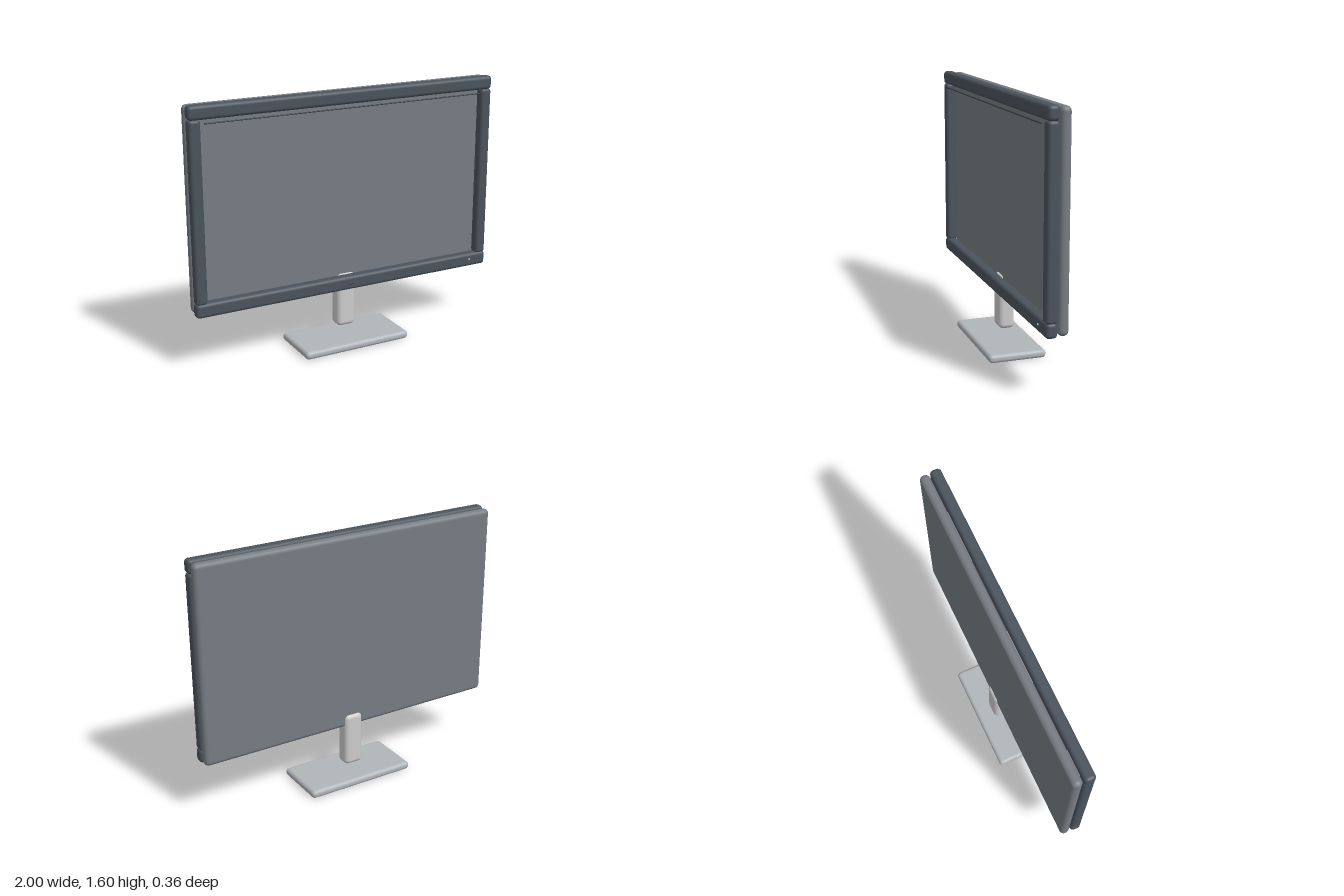
import * as THREE from 'three';
import { RoundedBoxGeometry } from 'three/addons/geometries/RoundedBoxGeometry.js';

const material = (color) => new THREE.MeshStandardMaterial({ color });

// Rounded box given by its extents on each axis
function roundedPart(name, [x0, x1], [y0, y1], [z0, z1], radius, mat) {
  const geometry = new RoundedBoxGeometry(x1 - x0, y1 - y0, z1 - z0, 5, radius);
  const mesh = new THREE.Mesh(geometry, mat);
  mesh.position.set((x0 + x1) / 2, (y0 + y1) / 2, (z0 + z1) / 2);
  mesh.name = name;
  return mesh;
}

// Flattened sphere for the small details on the frame
function button(name, x, y, z, rx, ry, rz, mat) {
  const mesh = new THREE.Mesh(new THREE.SphereGeometry(1, 20, 12), mat);
  mesh.scale.set(rx, ry, rz);
  mesh.position.set(x, y, z);
  mesh.name = name;
  return mesh;
}

export function createModel() {
  const model = new THREE.Group();
  model.name = 'monitor';

  const frameMat = material(0x4a535c);
  const panelMat = material(0x757c82);
  const neckMat = material(0xcccccc);
  const baseMat = material(0xb0b5b9);
  const detailMat = material(0x3a4046);
  const lightMat = material(0xdde4ea);

  // Foot and neck
  model.add(roundedPart('base', [-0.356, 0.356], [0, 0.05], [-0.178, 0.178], 0.022, baseMat));
  model.add(roundedPart('neck', [-0.062, 0.062], [0.1, 0.446], [-0.08, 0.02], 0.03, neckMat));

  // Screen body behind the frame
  model.add(roundedPart('screenPanel', [-0.998, 0.998], [0.364, 1.595], [-0.064, -0.003], 0.028, panelMat));

  // Raised frame of four bars
  const frame = new THREE.Group();
  frame.name = 'frame';
  const depth = [0.003, 0.07];
  frame.add(roundedPart('topBar', [-1, 1], [1.518, 1.602], depth, 0.022, frameMat));
  frame.add(roundedPart('bottomBar', [-1, 1], [0.358, 0.446], depth, 0.022, frameMat));
  frame.add(roundedPart('rightBar', [-0.998, -0.927], [0.438, 1.522], depth, 0.02, frameMat));
  frame.add(roundedPart('leftBar', [0.927, 0.998], [0.438, 1.522], depth, 0.02, frameMat));
  model.add(frame);

  // Thin rod across the top of the screen
  const rod = new THREE.Mesh(new THREE.CylinderGeometry(0.004, 0.004, 1.82, 12), detailMat);
  rod.rotation.z = Math.PI / 2;
  rod.position.set(0, 1.5, 0.075);
  rod.name = 'topRod';
  model.add(rod);

  // Badge and power light on the lower bar
  model.add(button('badge', 0, 0.402, 0.071, 0.019, 0.007, 0.008, detailMat));
  model.add(button('powerLight', 0.875, 0.408, 0.071, 0.006, 0.006, 0.005, lightMat));

  return model;
}
